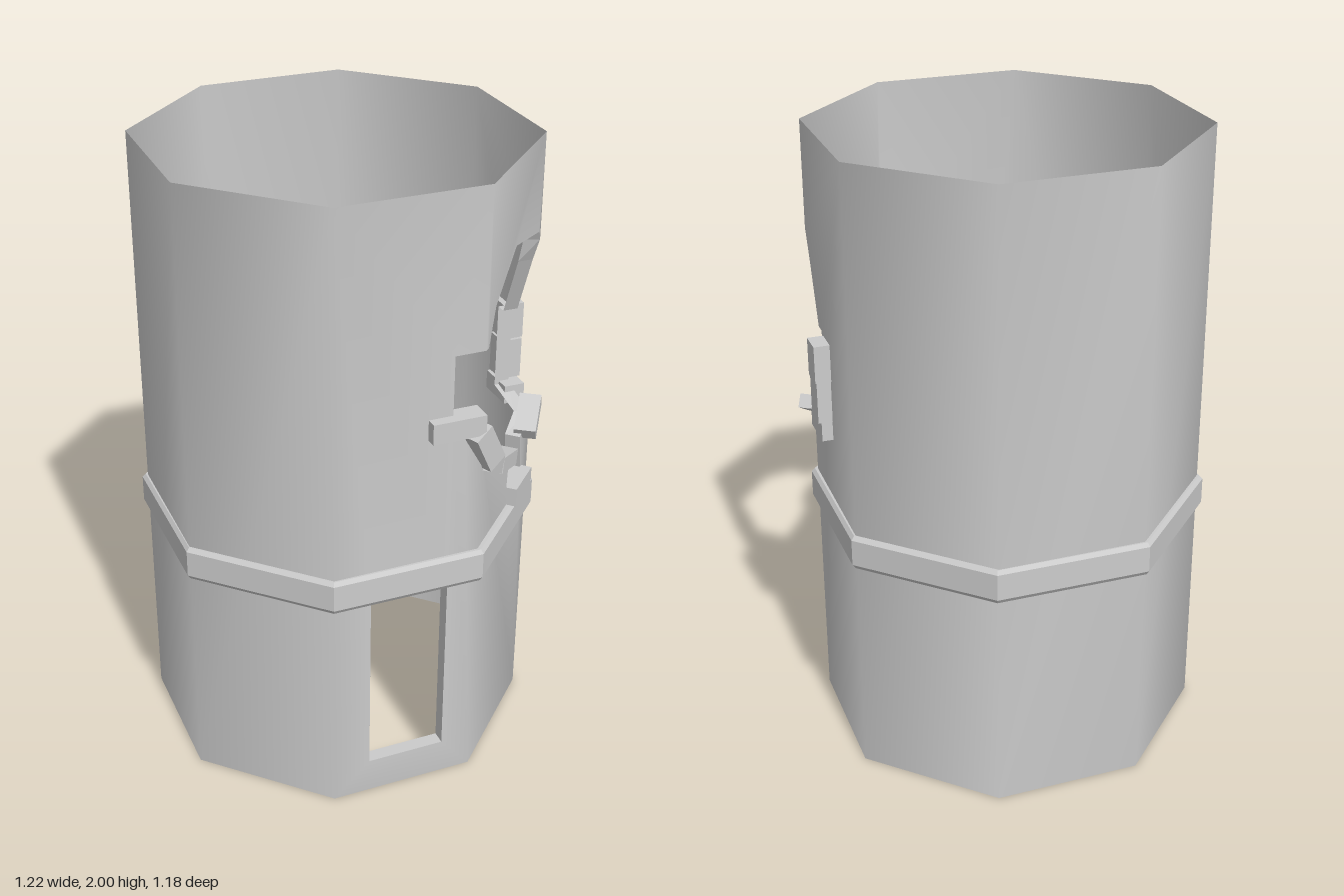
import * as THREE from 'three';
import { mergeGeometries, mergeVertices } from 'three/addons/utils/BufferGeometryUtils.js';

const HEIGHT = 2;
// plan of the octagonal wall as [x, z], starting at the left face and going round to the back
const CORNERS = [[0.56, 0.24], [0.56, -0.24], [0.23, -0.575], [-0.25, -0.575],
  [-0.58, -0.24], [-0.58, 0.24], [-0.25, 0.575], [0.23, 0.575]];

// outline of the breach and the doorway as [z, y]
const BREACH = [[0.31, 1.5], [0.24, 1.5], [0.22, 1.5], [0.17, 1.61], [0, 1.73], [-0.225, 1.69], [-0.24, 1.66],
  [-0.267, 1.58], [-0.325, 1.38], [-0.35, 1.38], [-0.35, 1.1], [-0.24, 1.07], [-0.15, 1.02], [-0.17, 0.9],
  [-0.03, 0.9], [-0.04, 0.98], [0.1, 1.03], [0.22, 1.11], [0.24, 1.15], [0.28, 1.25], [0.31, 1.28]];
const DOOR = [[0.31, 0.115], [0.49, 0.115], [0.49, 0.72], [0.31, 0.72]];

// point on the three left-hand faces, pushed inward by depth
function wallPoint(z, y, depth) {
  const over = Math.abs(z) - 0.24;
  const angle = (over < -0.005 ? 0 : over < 0.005 ? Math.PI / 8 : Math.PI / 4) * Math.sign(z);
  const x = 0.56 - Math.max(0, over) * 0.985;
  return [x - depth * Math.cos(angle), y, z - depth * Math.sin(angle)];
}

// flat panel on face i, its outline given as [t along the face, y]
function panel(i, outline, hole) {
  const a = CORNERS[i], b = CORNERS[(i + 1) % 8];
  const shape = new THREE.Shape(outline.map(p => new THREE.Vector2(...p)));
  if (hole) shape.holes.push(new THREE.Path(hole.map(p => new THREE.Vector2(...p))));
  const geo = new THREE.ShapeGeometry(shape);
  const pos = geo.attributes.position;
  for (let k = 0; k < pos.count; k++) {
    const t = pos.getX(k);
    pos.setXYZ(k, a[0] + (b[0] - a[0]) * t, pos.getY(k), a[1] + (b[1] - a[1]) * t);
  }
  geo.deleteAttribute('uv');
  geo.deleteAttribute('normal');
  return geo;
}

// the same with the outline given as [z, y]
function panelByZ(i, outline, hole) {
  const za = CORNERS[i][1], zb = CORNERS[(i + 1) % 8][1];
  const toT = ([z, y]) => [(z - za) / (zb - za), y];
  return panel(i, outline.map(toT), hole && hole.map(toT));
}

// strip running round an opening, showing the wall's thickness
function reveal(loop, depth) {
  const v = [];
  loop.forEach((p, i) => {
    const q = loop[(i + 1) % loop.length];
    const a = wallPoint(...p, 0), b = wallPoint(...q, 0);
    const c = wallPoint(...q, depth), d = wallPoint(...p, depth);
    v.push(...a, ...b, ...c, ...a, ...c, ...d);
  });
  const geo = new THREE.BufferGeometry();
  geo.setAttribute('position', new THREE.Float32BufferAttribute(v, 3));
  geo.computeVertexNormals();
  return geo;
}

export function createModel() {
  const group = new THREE.Group();
  const stoneMat = new THREE.MeshStandardMaterial({ color: 0xcccccc });
  const sheetMat = new THREE.MeshStandardMaterial({ color: 0xcccccc, side: THREE.DoubleSide });
  const flatMat = new THREE.MeshStandardMaterial({ color: 0xcccccc, flatShading: true });
  const add = (name, geo, mat) => {
    const mesh = new THREE.Mesh(geo, mat);
    mesh.name = name;
    group.add(mesh);
    return mesh;
  };

  // wall: plain panels, then the three that the breach and door cut into
  const panels = [];
  for (let i = 2; i < 7; i++) panels.push(panel(i, [[0, 0], [1, 0], [1, HEIGHT], [0, HEIGHT]]));
  panels.push(
    panelByZ(0, [[0.24, HEIGHT], ...BREACH.slice(1, 7), [-0.24, HEIGHT]]),
    panelByZ(0, [[-0.24, 0], ...BREACH.slice(11, 19), [0.24, 0]]),
    panelByZ(1, [[-0.24, HEIGHT], ...BREACH.slice(6, 12), [-0.24, 0], [-0.575, 0], [-0.575, HEIGHT]]),
    panelByZ(7, [[0.24, 0], ...BREACH.slice(18), ...BREACH.slice(0, 2), [0.24, HEIGHT],
      [0.575, HEIGHT], [0.575, 0]], DOOR));
  const wall = mergeVertices(mergeGeometries(panels), 1e-4);
  wall.computeVertexNormals();
  add('towerWall', wall, sheetMat);
  add('breachEdge', reveal(BREACH, 0.05), sheetMat);
  add('doorFrame', reveal(DOOR, 0.045), sheetMat);

  // floor inside, level with the band
  const floor = new THREE.ShapeGeometry(new THREE.Shape(CORNERS.map(([x, z]) => new THREE.Vector2(x, -z))));
  floor.rotateX(-Math.PI / 2);
  add('upperFloor', floor, sheetMat).position.y = 0.78;

  // bevelled band round the middle
  const k = 1 / Math.cos(Math.PI / 8);
  const profile = [[0.565, 0.72], [0.58, 0.72], [0.59, 0.735], [0.59, 0.82], [0.58, 0.832], [0.565, 0.832]]
    .map(([r, y]) => new THREE.Vector2(r * k, y));
  const band = new THREE.LatheGeometry(profile, 8, Math.PI / 8);
  add('stoneBand', band, flatMat).position.x = -0.008;

  // loose stones round the breach: z, y, length, height, depth, facing and tilt in degrees, push outward
  const stones = [
    [0.305, 1.278, 0.17, 0.065, 0.07, 45, 0, 0],
    [0.235, 1.19, 0.14, 0.07, 0.07, 67, -62, 0],
    [0.155, 1.09, 0.13, 0.055, 0.07, 90, -30, -0.01],
    [0.025, 1.03, 0.145, 0.05, 0.07, 90, -16, -0.01],
    [-0.105, 0.87, 0.155, 0.062, 0.09, 90, 0, -0.01],
    [-0.225, 1.06, 0.14, 0.045, 0.07, 100, 30, 0],
    [-0.365, 1.08, 0.13, 0.062, 0.07, 135, 0, 0],
    [-0.385, 1.18, 0.08, 0.135, 0.07, 135, 0, 0.01],
    [-0.39, 1.31, 0.08, 0.12, 0.07, 135, 0, 0.015],
  ];
  stones.forEach(([z, y, l, h, d, face, tilt, out], i) => {
    const stone = add('breachStone' + (i + 1), new THREE.BoxGeometry(l, h, d), stoneMat);
    stone.position.set(...wallPoint(z, y, -out));
    stone.rotation.set(0, THREE.MathUtils.degToRad(face), THREE.MathUtils.degToRad(tilt), 'YXZ');
  });

  return group;
}
